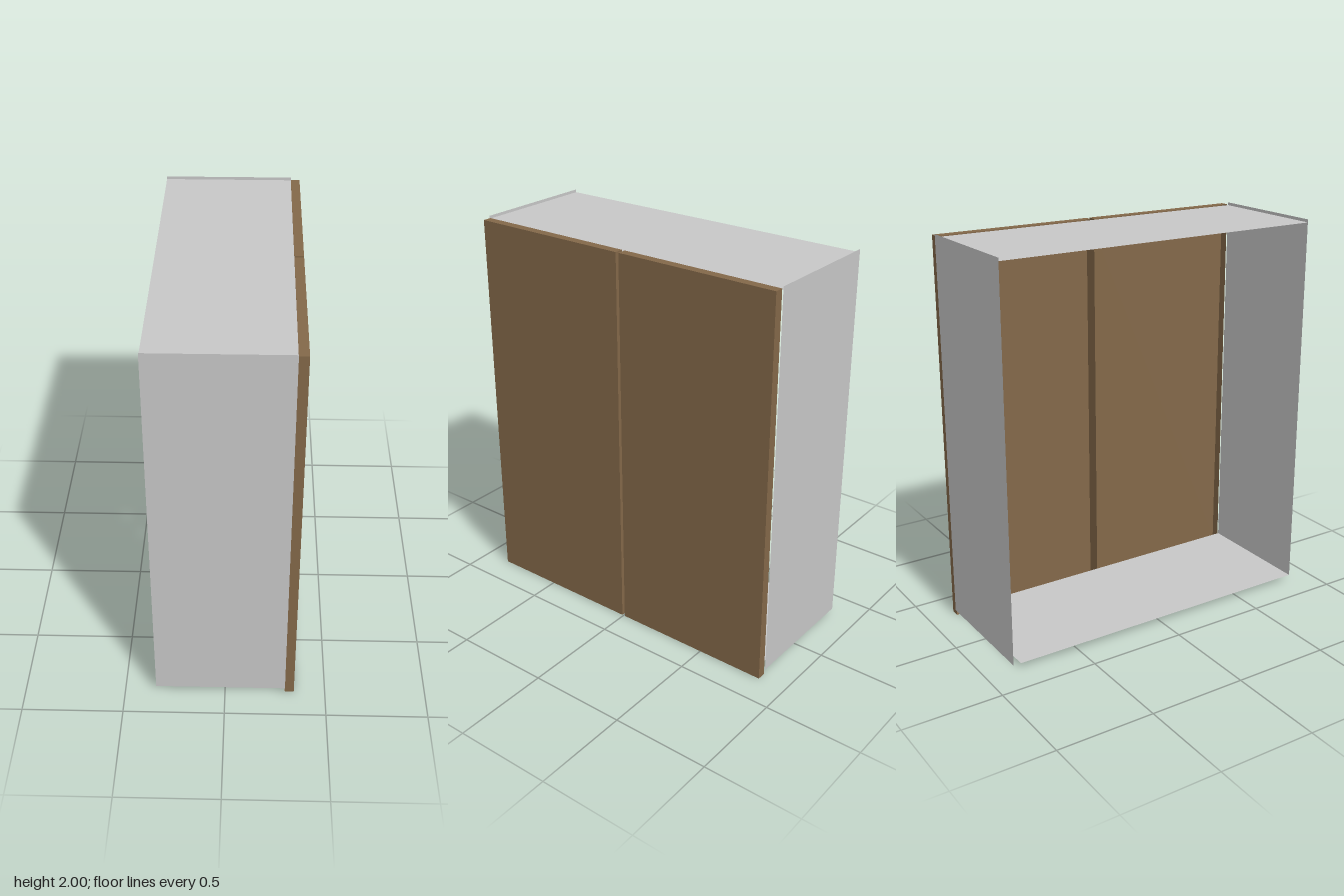
import * as THREE from 'three';

export function createModel() {
  const model = new THREE.Group();
  model.name = 'cabinet';

  const grey = new THREE.MeshStandardMaterial({ color: 0xc7c7c7, side: THREE.DoubleSide });
  grey.name = 'grey carcass';
  const brown = new THREE.MeshStandardMaterial({ color: 0x836849, side: THREE.DoubleSide });
  brown.name = 'brown wood';

  const backX = -0.345, frontX = 0.3, doorX = 0.345;
  const halfZ = 0.86, bottomY = 0.03, topY = 2;
  const depth = frontX - backX, midX = (frontX + backX) / 2;

  function add(name, geometry, material, x, y, z) {
    const mesh = new THREE.Mesh(geometry, material);
    mesh.name = name;
    mesh.position.set(x, y, z);
    model.add(mesh);
  }

  // Thin side panels, and doors that are hollow behind
  const doorWidth = 0.846, doorHeight = 1.99, doorDepth = doorX - frontX;
  for (const [side, s] of [['left', 1], ['right', -1]]) {
    const panel = new THREE.PlaneGeometry(depth, topY - bottomY);
    if (s < 0) panel.rotateY(Math.PI);
    add(side + 'SidePanel', panel, grey, midX, (topY + bottomY) / 2, s * halfZ);

    const door = new THREE.BoxGeometry(doorDepth, doorHeight, doorWidth);
    const index = Array.from(door.index.array);
    index.splice(6, 6); // leave the inner face open
    door.setIndex(index);
    door.clearGroups();
    add(side + 'Door', door, brown, frontX + doorDepth / 2, doorHeight / 2, s * (0.008 + doorWidth / 2));
  }

  // Top panel, just below the upper edge of the sides
  const top = new THREE.PlaneGeometry(depth, halfZ * 2).rotateX(-Math.PI / 2);
  add('topPanel', top, grey, midX, topY - 0.015, 0);

  // Floor panel, with a narrow gap at one side
  const gap = 0.04;
  const floor = new THREE.PlaneGeometry(depth, halfZ * 2 - gap).rotateX(Math.PI / 2);
  add('floorPanel', floor, grey, midX, bottomY, gap / 2);

  return model;
}
